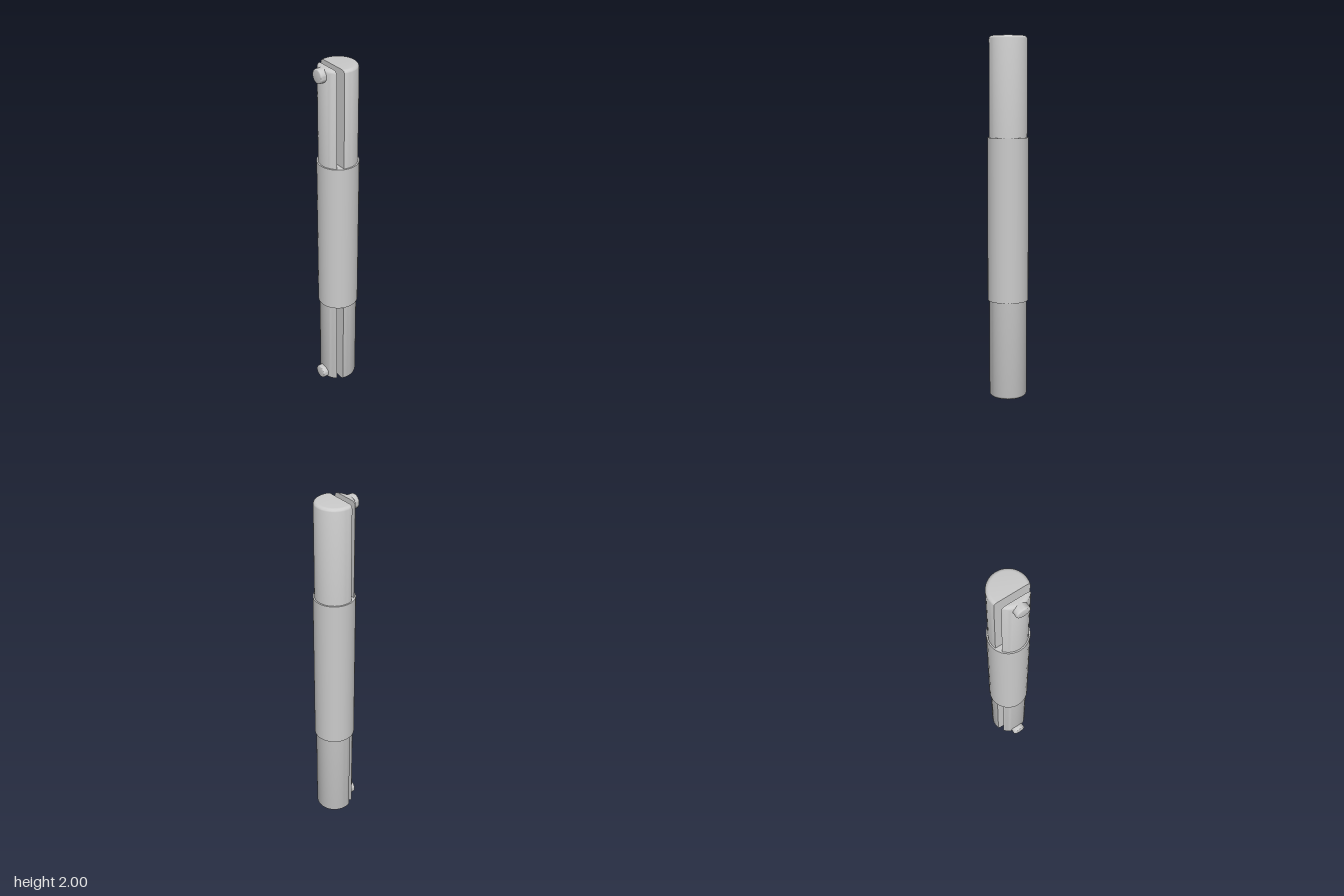
import * as THREE from 'three';
import { toCreasedNormals } from 'three/addons/utils/BufferGeometryUtils.js';

const R = 0.105, FILLET = 0.02, AXIS_Z = -0.01;
const material = new THREE.MeshStandardMaterial({ color: 0xcccccc });

// Full-height circular segment bounded by a flat at local z = d, ends filleted.
// dir = 1 keeps the side in front of the flat, dir = -1 the side behind it.
function rodSegment(d, dir, arcSteps) {
  const rings = [], steps = 6;
  for (let i = 0; i <= steps; i++) {
    const a = (i / steps) * Math.PI / 2;
    rings.push([FILLET * (1 - Math.cos(a)), R - FILLET * (1 - Math.sin(a))]);
  }
  for (let i = steps; i >= 0; i--) rings.push([2 - rings[i][0], rings[i][1]]);

  const positions = [], index = [], n = arcSteps + 1;
  for (const [y, r] of rings) {
    const half = Math.acos(dir * d / r);
    for (let j = 0; j < n; j++) {
      const t = half * (2 * j / arcSteps - 1);
      positions.push(dir * r * Math.sin(t), y, dir * r * Math.cos(t));
    }
  }
  // Curved wall and flat (the last quad of each ring closes the chord)
  for (let i = 0; i < rings.length - 1; i++) {
    for (let j = 0; j < n; j++) {
      const a = i * n + j, b = i * n + (j + 1) % n;
      index.push(a, b, b + n, a, b + n, a + n);
    }
  }
  // End caps
  const top = (rings.length - 1) * n;
  for (let j = 1; j < n - 1; j++) {
    index.push(0, j + 1, j);
    index.push(top, top + j, top + j + 1);
  }
  const g = new THREE.BufferGeometry();
  g.setAttribute('position', new THREE.Float32BufferAttribute(positions, 3));
  g.setIndex(index);
  return toCreasedNormals(g, 0.5);
}

// Round stud pointing forward with a softened rim
function studGeometry(radius, length, bevel) {
  const profile = [new THREE.Vector2(0, 0), new THREE.Vector2(radius, 0)];
  for (let i = 0; i <= 4; i++) {
    const a = (i / 4) * Math.PI / 2;
    profile.push(new THREE.Vector2(
      radius - bevel * (1 - Math.cos(a)), length - bevel * (1 - Math.sin(a))));
  }
  profile.push(new THREE.Vector2(0, length));
  const g = new THREE.LatheGeometry(profile, 32);
  g.rotateX(Math.PI / 2);
  return toCreasedNormals(g, 0.5);
}

export function createModel() {
  const group = new THREE.Group();
  const add = (name, geometry, x, y, z) => {
    const mesh = new THREE.Mesh(geometry, material);
    mesh.name = name;
    mesh.position.set(x, y, z);
    group.add(mesh);
  };

  // Split rod: thick back half and thin front strip with a slot between them
  add('backRod', rodSegment(0.034, -1, 28), 0, 0, AXIS_Z);
  add('frontStrip', rodSegment(0.067, 1, 14), 0, 0, AXIS_Z);

  // Sleeve around the middle
  add('sleeve', new THREE.CylinderGeometry(0.113, 0.113, 0.904, 36), 0, 1.004, AXIS_Z);

  // Studs at both ends of the front strip
  const stud = studGeometry(0.039, 0.061, 0.008);
  add('topStud', stud, 0, 1.961, 0.06);
  add('bottomStud', stud, 0, 0.041, 0.06);

  return group;
}
